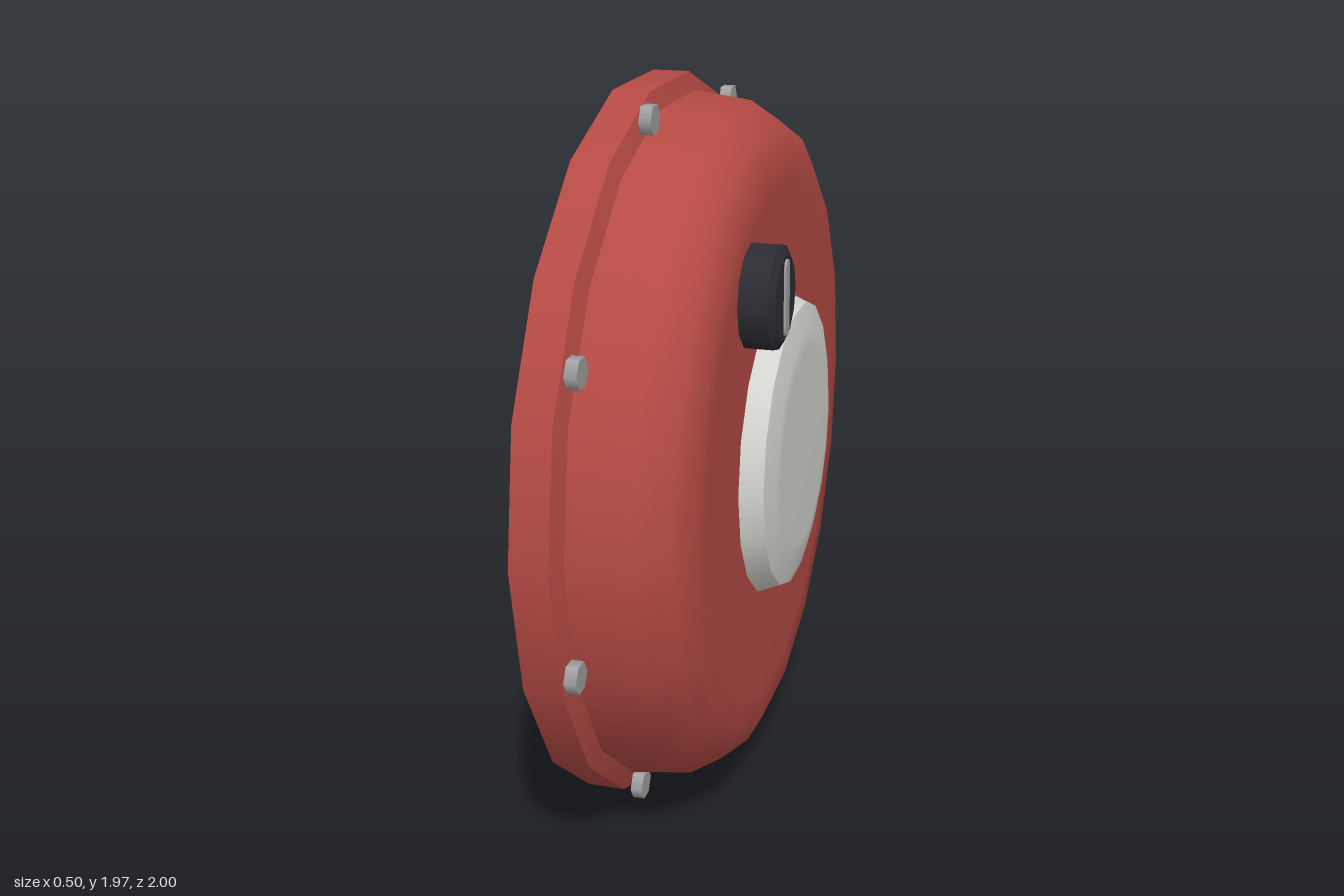
import * as THREE from 'three';
import { mergeGeometries } from 'three/addons/utils/BufferGeometryUtils.js';

const CENTER_Y = 0.985;

function material(name, color) {
  const m = new THREE.MeshStandardMaterial({ color });
  m.name = name;
  return m;
}

// Turns [radius, x] profiles around the x axis; each profile is smooth, joints between them stay sharp
function turned(name, mat, sides, ...profiles) {
  const parts = profiles.map((p) =>
    new THREE.LatheGeometry(p.map(([r, x]) => new THREE.Vector2(r, x)), sides));
  const geo = mergeGeometries(parts);
  geo.rotateZ(-Math.PI / 2);
  const mesh = new THREE.Mesh(geo, mat);
  mesh.name = name;
  return mesh;
}

export function createModel() {
  const red = material('red paint', 0xb54a44);
  const white = material('off white', 0xd4d4d0);
  const black = material('charcoal', 0x2c2d33);
  const metal = material('grey metal', 0xa2a2a2);

  const model = new THREE.Group();
  model.name = 'wallBell';
  const body = new THREE.Group();
  body.name = 'bellAssembly';
  body.position.y = CENTER_Y;
  model.add(body);

  // Back plate with a chamfered rim
  body.add(turned('backPlate', red, 18,
    [[0, -0.25], [1, -0.25]],
    [[1, -0.25], [1, -0.15]],
    [[1, -0.15], [0.95, -0.13]]));

  // Rounded shell
  body.add(turned('shell', red, 18,
    [[0.95, -0.13], [0.93, 0.03], [0.88, 0.11], [0.805, 0.149], [0.72, 0.15], [0, 0.15]]));

  // Raised centre disc
  body.add(turned('centreDisc', white, 18,
    [[0.42, 0.15], [0.395, 0.21]],
    [[0.395, 0.21], [0.32, 0.228], [0.28, 0.23], [0, 0.23]]));

  // Knob with an inlaid bar
  const knob = new THREE.Group();
  knob.name = 'knob';
  knob.position.set(0, 0.505, 0.3);
  knob.add(turned('knobBody', black, 12,
    [[0.137, 0.15], [0.137, 0.225]],
    [[0.137, 0.225], [0.11, 0.24]],
    [[0.11, 0.24], [0, 0.24]]));
  const slot = new THREE.Shape();
  slot.absarc(0, 0.08, 0.02, 0, Math.PI);
  slot.absarc(0, -0.08, 0.02, Math.PI, Math.PI * 2);
  const barGeo = new THREE.ExtrudeGeometry(slot, { depth: 0.008, bevelEnabled: false, curveSegments: 5 });
  const bar = new THREE.Mesh(barGeo, metal);
  bar.name = 'knobBar';
  bar.rotation.y = Math.PI / 2;
  bar.position.x = 0.238;
  knob.add(bar);
  body.add(knob);

  // Ring of hexagonal bolts on the rim
  const boltGeo = new THREE.CylinderGeometry(0.041, 0.041, 0.032, 6).rotateZ(-Math.PI / 2);
  const bolts = new THREE.Group();
  bolts.name = 'bolts';
  for (let i = 0; i < 8; i++) {
    const a = THREE.MathUtils.degToRad(27.8 + 45 * i);
    const bolt = new THREE.Mesh(boltGeo, metal);
    bolt.name = 'bolt';
    bolt.position.set(-0.116, 0.979 * Math.sin(a), 0.979 * Math.cos(a));
    bolts.add(bolt);
  }
  body.add(bolts);

  return model;
}
